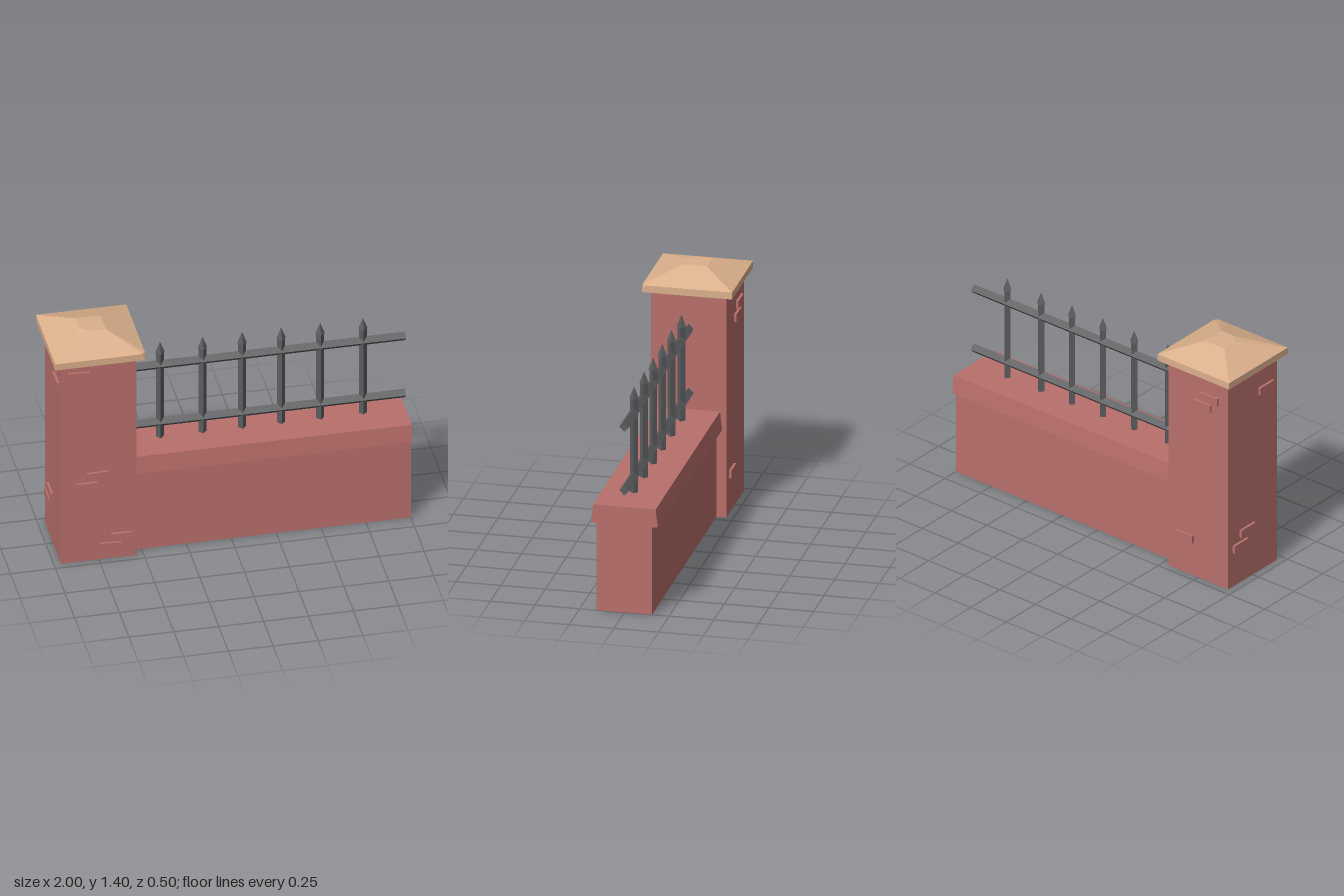
import * as THREE from 'three';

const mat = (name, color) => {
  const m = new THREE.MeshStandardMaterial({ color });
  m.name = name;
  return m;
};

// Joins rings of [x, z] points at given heights into a closed, faceted solid.
function loft(rings) {
  const pos = [];
  const n = rings[0].pts.length;
  const at = (r, i) => [rings[r].pts[i % n][0], rings[r].y, rings[r].pts[i % n][1]];
  const tri = (a, b, c) => pos.push(...a, ...b, ...c);
  const last = rings.length - 1;
  for (let r = 0; r < last; r++) {
    for (let i = 0; i < n; i++) {
      tri(at(r, i), at(r, i + 1), at(r + 1, i + 1));
      tri(at(r, i), at(r + 1, i + 1), at(r + 1, i));
    }
  }
  for (let i = 1; i < n - 1; i++) {
    tri(at(0, 0), at(0, i + 1), at(0, i));
    tri(at(last, 0), at(last, i), at(last, i + 1));
  }
  const geo = new THREE.BufferGeometry();
  geo.setAttribute('position', new THREE.Float32BufferAttribute(pos, 3));
  geo.computeVertexNormals();
  return geo;
}

export function createModel() {
  const model = new THREE.Group();
  model.name = 'fencedWall';
  const brick = mat('brick red', 0xb96f6b);
  const stone = mat('tan stone', 0xdcb08c);
  const iron = mat('dark iron', 0x5a5c5e);
  iron.flatShading = true;

  const add = (name, geo, material, x, y, z, parent = model) => {
    const mesh = new THREE.Mesh(geo, material);
    mesh.name = name;
    mesh.position.set(x, y, z);
    parent.add(mesh);
    return mesh;
  };

  // Pillar
  const px = -0.75, half = 0.21;
  add('pillar', new THREE.BoxGeometry(0.42, 1.29, 0.42), brick, px, 0.645, 0);

  // Raised bricks: [side, offset along the face, height, tilt]
  const bricks = new THREE.Group();
  bricks.name = 'raisedBricks';
  model.add(bricks);
  const brickGeo = new THREE.BoxGeometry(0.12, 0.045, 0.03);
  [
    ['front', -0.865, 1.212, -0.04], ['front', -0.757, 0.55, 0.03],
    ['front', -0.82, 0.487, 0], ['front', -0.624, 0.14, 0],
    ['front', -0.685, 0.083, -0.05],
    ['back', -0.834, 1.155, 0], ['back', -0.784, 1.095, 0], ['back', -0.66, 0.23, 0],
    ['side', 0.11, 1.13, 0], ['side', -0.05, 0.307, 0], ['side', -0.11, 0.235, 0],
  ].forEach(([side, u, y, tilt]) => {
    const m = add('raisedBrick', brickGeo, brick, u, y, side === 'front' ? half : -half, bricks);
    if (side === 'side') {
      m.position.set(px - half, y, u);
      m.rotation.y = Math.PI / 2;
    }
    m.rotation.z = tilt;
  });

  // Pillar cap with a worn upper corner and a chipped rim corner
  const ring = (y, s, wornX, wornZ, chip) => ({
    y,
    pts: [[-s, s - wornZ], [-s + wornX, s], [s - chip, s], [s, s - chip], [s, -s], [-s, -s]],
  });
  const cap = loft([
    ring(1.29, 0.252, 0, 0, 0),
    ring(1.33, 0.252, 0, 0, 0.02),
    ring(1.4, 0.07, 0.045, 0.045, 0),
  ]);
  add('pillarCap', cap, stone, px, 0, 0);

  // Low wall and its tapered coping
  add('lowWall', new THREE.BoxGeometry(1.54, 0.51, 0.31), brick, 0.23, 0.255, 0);
  const strip = (w) => [[-0.54, w], [1, w], [1, -w], [-0.54, -w]];
  add('wallCoping', loft([{ y: 0.51, pts: strip(0.187) }, { y: 0.615, pts: strip(0.175) }]),
    brick, 0, 0, 0);

  // Iron fence: diamond-section rails, uprights and spear tips
  const fence = new THREE.Group();
  fence.name = 'fence';
  model.add(fence);
  const railGeo = new THREE.CylinderGeometry(0.028, 0.028, 1.54, 4).rotateZ(Math.PI / 2);
  for (const y of [0.71, 1.082]) add('rail', railGeo, iron, 0.23, y, 0, fence);
  const barGeo = new THREE.CylinderGeometry(0.022, 0.022, 0.57, 4);
  const tipGeo = new THREE.CylinderGeometry(0, 0.027, 0.07, 4);
  for (const x of [-0.365, -0.128, 0.092, 0.31, 0.527, 0.765]) {
    add('upright', barGeo, iron, x, 0.88, 0, fence);
    add('spearTip', tipGeo, iron, x, 1.196, 0, fence);
  }
  return model;
}
